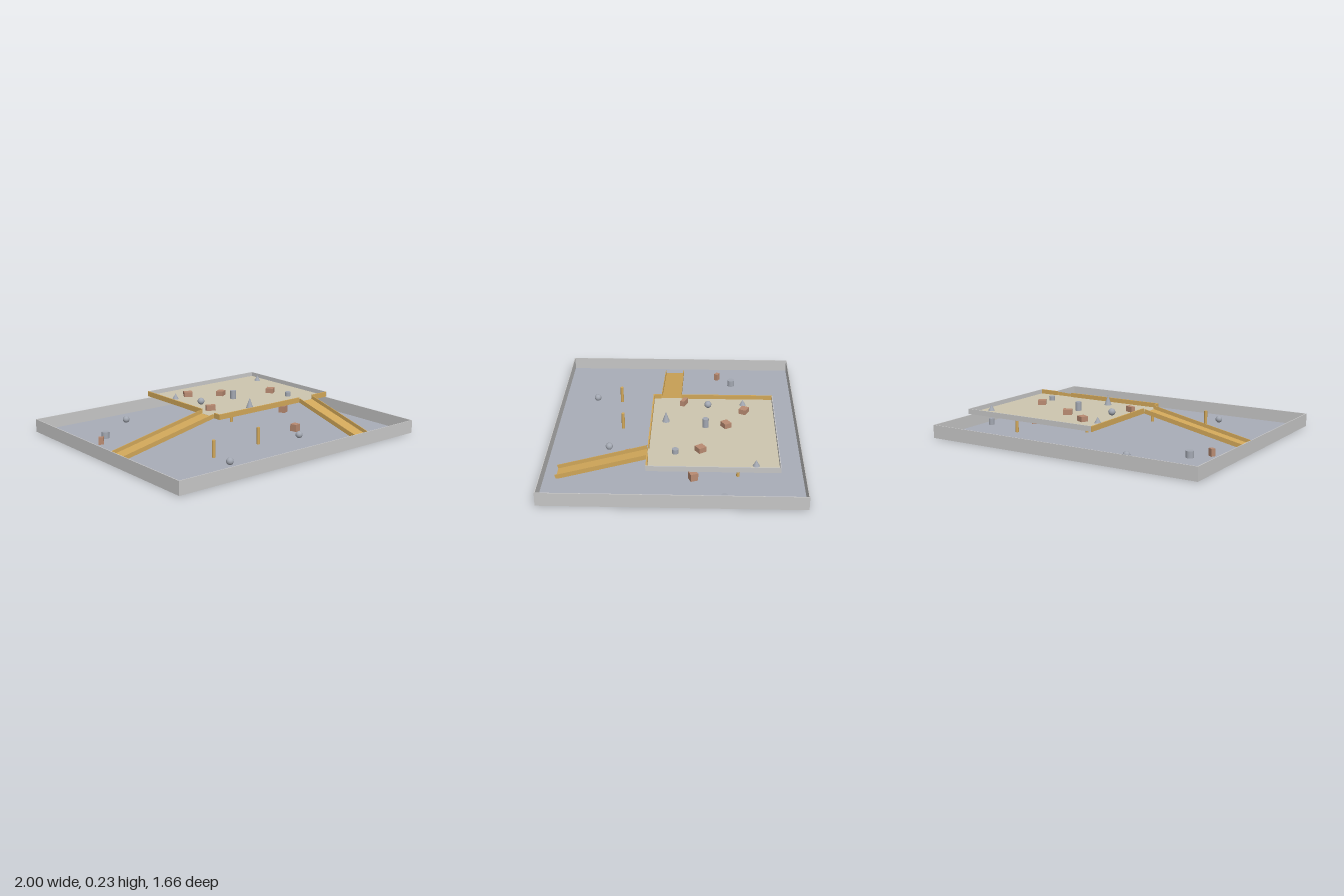
import * as THREE from 'three';

const mat = (name, color) => Object.assign(new THREE.MeshStandardMaterial({ color }), { name });

export function createModel() {
  const root = new THREE.Group();
  root.name = 'trayPlayfield';
  const floorGrey = mat('floorGrey', 0xa9adb8);
  const wallGrey = mat('wallGrey', 0xc8c8c8);
  const sand = mat('sand', 0xcdc6af);
  const wood = mat('wood', 0xd2a85a);
  const clay = mat('clay', 0xb98b72);
  const metal = mat('metal', 0xa3a8b2);

  const add = (name, geo, material, x, y, z, parent = root) => {
    const m = new THREE.Mesh(geo, material);
    m.name = name;
    m.position.set(x, y, z);
    parent.add(m);
    return m;
  };
  // Box given by its two extreme corners
  const span = (name, material, x0, x1, y0, y1, z0, z1, parent = root) =>
    add(name, new THREE.BoxGeometry(x1 - x0, y1 - y0, z1 - z0), material,
      (x0 + x1) / 2, (y0 + y1) / 2, (z0 + z1) / 2, parent);

  // Tray
  const T = 0.006, H = 0.09, W = 1, D = 0.83;
  span('trayFloor', floorGrey, -W + T, W - T, 0, 0.004, -D + T, D - T);
  for (const s of [-1, 1]) {
    add('traySideWall', new THREE.BoxGeometry(T, H, 2 * D), wallGrey, s * (W - T / 2), H / 2, 0);
    add('trayEndWall', new THREE.BoxGeometry(2 * (W - T), H, T), wallGrey, 0, H / 2, s * (D - T / 2));
  }

  // Raised platform, with openings in the wooden rails for both ramps
  const L = -0.17, R = 0.83, B = -0.665, F = 0.165, Y0 = 0.155, Y1 = 0.19, deck = 0.16;
  const r = 0.008;
  span('platformFloor', sand, L, R, Y0, deck, B, F);
  span('platformBackWall', wallGrey, L + r, R, Y0, Y1, B, B + 0.005);
  span('platformRightWall', wallGrey, R - 0.005, R + 0.001, Y0, Y1, B, F + 0.001);
  for (const [a, b] of [[B, -0.03], [0.11, F]])
    span('platformLeftRail', wood, L - 0.001, L + r, Y0 - 0.001, Y1, a, b);
  for (const [a, b] of [[L + r, 0.56], [0.685, R - 0.005]])
    span('platformFrontRail', wood, a, b, Y0 - 0.001, Y1, F - r, F + 0.001);

  // Ramps: local +x runs downhill from the platform edge to the tray floor
  const ramp = (name, x, z, run, width, heading) => {
    const g = new THREE.Group(), slope = new THREE.Group();
    const len = Math.hypot(run, Y0);
    g.name = name;
    g.position.set(x, Y0, z);
    g.rotation.y = heading;
    slope.rotation.z = -Math.atan2(Y0, run);
    span('rampBed', wood, 0, len, 0, 0.005, -width / 2, width / 2, slope);
    for (const s of [-1, 1])
      add('rampRail', new THREE.BoxGeometry(len, 0.03, 0.005), wood, len / 2, 0.015, s * (width / 2 - 0.0025), slope);
    g.add(slope);
    root.add(g);
  };
  ramp('leftRamp', L, 0.04, 0.75, 0.14, Math.PI);
  ramp('frontRamp', 0.622, F, 0.58, 0.13, -Math.PI / 2);

  // Posts standing on the tray floor
  for (const [x, z] of [[-0.415, 0.41], [-0.005, 0.37], [0.205, -0.165], [0.62, -0.41]])
    add('post', new THREE.CylinderGeometry(0.011, 0.011, 0.12, 16), wood, x, 0.06, z);

  // Blocks: x, z, width, height, depth, turn, base
  for (const [x, z, w, h, d, turn, y] of [
    [0.04, -0.46, 0.06, 0.034, 0.05, -0.45, deck],
    [0.245, -0.335, 0.06, 0.034, 0.05, 0.55, deck],
    [0.58, -0.17, 0.055, 0.034, 0.055, 0.6, deck],
    [-0.075, -0.05, 0.065, 0.038, 0.03, -0.4, deck],
    [0.4, 0.295, 0.047, 0.05, 0.05, 0.2, 0.004],
    [-0.815, -0.285, 0.035, 0.05, 0.028, -0.6, 0.004],
    [0.67, -0.125, 0.05, 0.05, 0.05, 0.4, 0.004],
  ]) add('block', new THREE.BoxGeometry(w, h, d), clay, x, y + h / 2, z).rotation.y = turn;

  // Balls: x, z, radius, base
  for (const [x, z, rad, y] of [
    [-0.395, -0.62, 0.024, 0.004], [-0.03, -0.215, 0.024, deck],
    [0.3, 0.44, 0.024, 0.004], [-0.43, 0.59, 0.024, 0.004],
  ]) add('ball', new THREE.SphereGeometry(rad, 24, 16), metal, x, y + rad, z);

  // Cones: x, z, radius, height
  for (const [x, z, rad, h] of [
    [-0.075, -0.455, 0.022, 0.04], [0.755, -0.515, 0.022, 0.04], [0.18, 0.065, 0.025, 0.07],
  ]) add('cone', new THREE.ConeGeometry(rad, h, 24), metal, x, deck + h / 2, z);

  // Upright cylinders: x, z, radius, height, base
  for (const [x, z, rad, h, y] of [
    [-0.715, -0.39, 0.026, 0.045, 0.004], [0.25, -0.2, 0.021, 0.06, deck],
    [0.61, -0.01, 0.021, 0.03, deck], [0.92, -0.32, 0.02, 0.045, 0.004],
  ]) add('cylinder', new THREE.CylinderGeometry(rad, rad, h, 24), metal, x, y + h / 2, z);

  return root;
}
